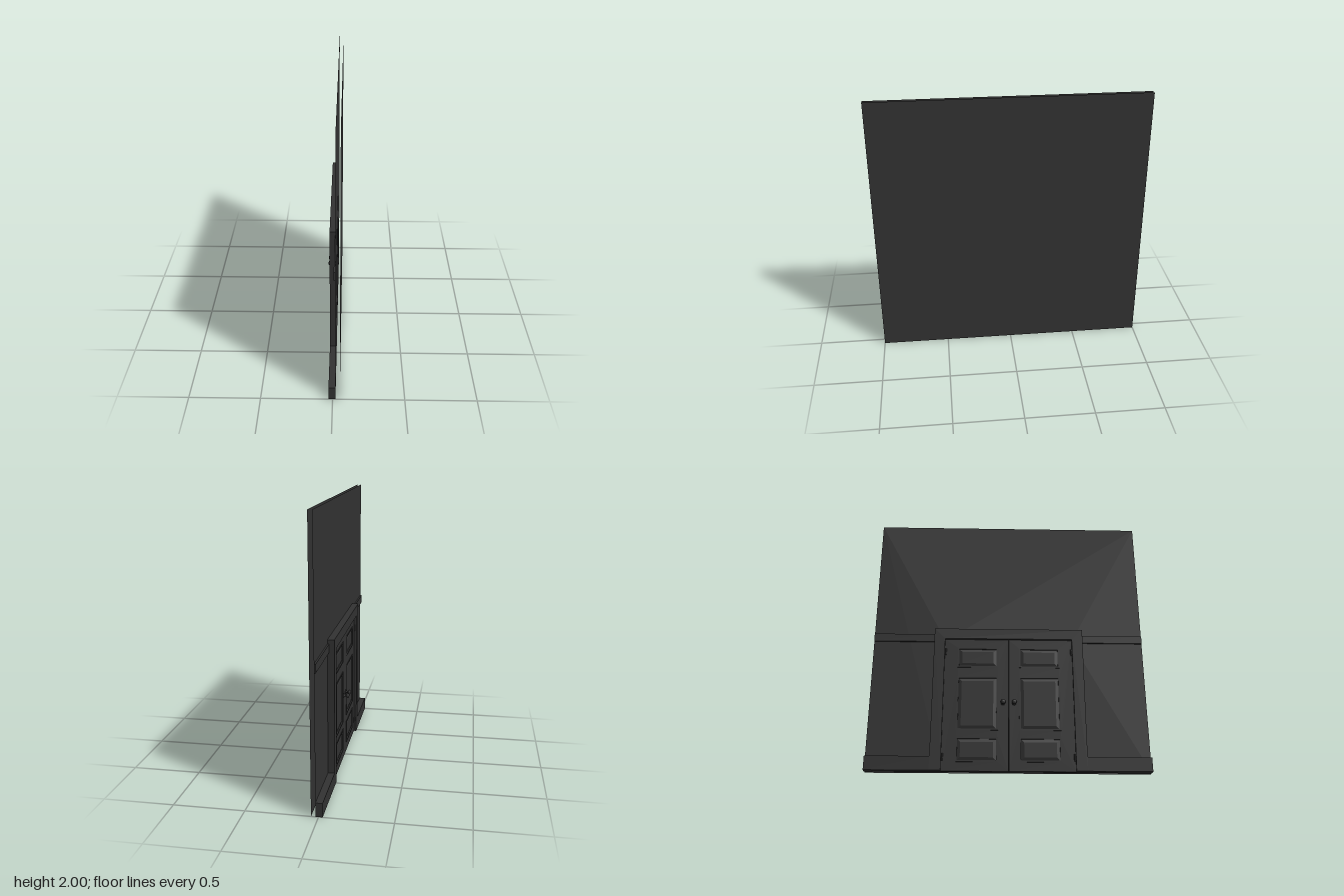
import * as THREE from 'three';

const material = new THREE.MeshStandardMaterial({ color: 0x333333, side: THREE.DoubleSide });
const WALL = 0.02;   // x of the wall surface behind the trim
const DOOR = -0.008; // x of the door face

// Closed outline from [z, y] points
const outline = pts => new THREE.Shape(pts.map(([z, y]) => new THREE.Vector2(z, y)));
const rect = (z0, z1, y0, y1) => outline([[z0, y0], [z1, y0], [z1, y1], [z0, y1]]);

function add(parent, name, geometry) {
  const mesh = new THREE.Mesh(geometry, material);
  mesh.name = name;
  parent.add(mesh);
  return mesh;
}

// Extrude a z-y outline from x0 towards -x, ending at x1
function slab(parent, name, shape, x0, x1) {
  const g = new THREE.ExtrudeGeometry(shape, { depth: x0 - x1, bevelEnabled: false });
  return add(parent, name, g.rotateY(-Math.PI / 2).translate(x0, 0, 0));
}

// Flat sheet in the z-y plane
function sheet(parent, name, shape, x) {
  return add(parent, name, new THREE.ShapeGeometry(shape).rotateY(-Math.PI / 2).translate(x, 0, 0));
}

// Field with sloping edges, sitting in a recess
function raisedPanel(parent, z0, z1, y0, y1) {
  const b = 0.03;
  const g = new THREE.ExtrudeGeometry(rect(z0 + b, z1 - b, y0 + b, y1 - b), {
    depth: 0.001, bevelEnabled: true, bevelSegments: 1, bevelSize: b, bevelThickness: 0.008,
  });
  add(parent, 'raisedPanel', g.rotateY(-Math.PI / 2).translate(0.002, 0, 0));
}

function makeDoor(side) {
  const door = new THREE.Group();
  door.name = side > 0 ? 'frontDoor' : 'backDoor';
  const span = (a, b) => (side > 0 ? [a, b] : [-b, -a]);
  const [d0, d1] = span(0.0015, 0.47);
  const [p0, p1] = span(0.08, 0.37);
  const rows = [[0.07, 0.24], [0.3, 0.7], [0.78, 0.93]];

  // Stiles and rails with openings for the panels
  const leaf = rect(d0, d1, 0, 1);
  rows.forEach(([y0, y1]) => leaf.holes.push(rect(p0, p1, y0, y1)));
  slab(door, 'doorLeaf', leaf, WALL, DOOR);

  // Panels and the thin moulding round each
  for (const [y0, y1] of rows) {
    raisedPanel(door, p0, p1, y0, y1);
    const rim = rect(p0 - 0.004, p1 + 0.004, y0 - 0.004, y1 + 0.004);
    rim.holes.push(rect(p0 + 0.008, p1 - 0.008, y0 + 0.008, y1 - 0.008));
    slab(door, 'panelMoulding', rim, 0.004, DOOR - 0.003);
  }

  // Round knob on a rose plate
  const profile = [[0, 0], [0.016, 0], [0.016, 0.003], [0.007, 0.006], [0.007, 0.02],
    [0.014, 0.024], [0.018, 0.031], [0.016, 0.037], [0.009, 0.041], [0, 0.042]];
  const knob = add(door, 'knob', new THREE.LatheGeometry(
    profile.map(([r, h]) => new THREE.Vector2(r, h)), 16));
  knob.rotation.z = Math.PI / 2;
  knob.position.set(DOOR, 0.5, side * 0.04);

  // Hinges
  for (const y of [0.1, 0.9]) {
    const hinge = add(door, 'hinge', new THREE.CylinderGeometry(0.006, 0.006, 0.05, 8));
    hinge.position.set(DOOR - 0.003, y, side * 0.463);
  }
  return door;
}

export function createModel() {
  const model = new THREE.Group();
  model.name = 'wallWithDoubleDoor';

  // Two wall surfaces, the panelled one open at the doorway
  sheet(model, 'plainWall', rect(-1, 1, 0, 2), 0.05);
  sheet(model, 'doorwayWall', outline([[-1, 0], [-0.47, 0], [-0.47, 1], [0.47, 1], [0.47, 0],
    [1, 0], [1, 2], [-1, 2]]), WALL);

  // Door surround
  slab(model, 'doorFrame', outline([[-0.55, 0], [-0.47, 0], [-0.47, 1], [0.47, 1], [0.47, 0],
    [0.55, 0], [0.55, 1.08], [-0.55, 1.08]]), WALL, -0.028);

  // Trim and doors on both sides
  for (const side of [-1, 1]) {
    const [z0, z1] = side > 0 ? [0.55, 1] : [-1, -0.55];
    slab(model, 'baseboard', rect(z0, z1, 0, 0.1), WALL, -0.028);
    slab(model, 'wallRail', rect(z0, z1, 0.99, 1.05), WALL, 0.008);
    model.add(makeDoor(side));
  }
  return model;
}
